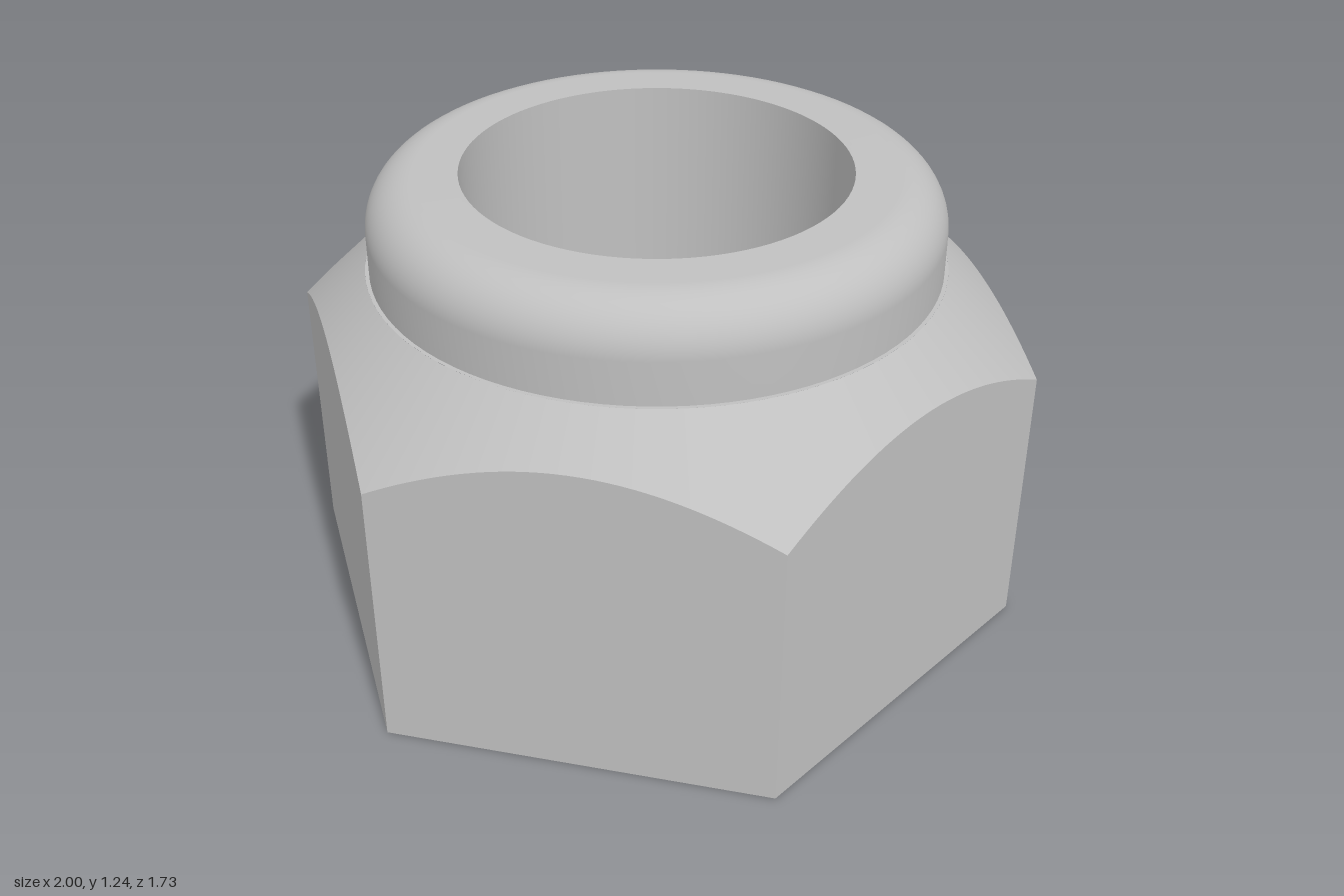
import * as THREE from 'three';
import { mergeGeometries } from 'three/addons/utils/BufferGeometryUtils.js';

const APOTHEM = Math.sqrt(3) / 2, CONE_R = 0.75, BORE_R = 0.5, COLLAR_R = 0.74, TOP = 1.24, FILLET = 0.13;
const coneY = (r) => 0.745 + 1 - r; // 45 degree chamfer cone

// One patch of the hexagon, moved by a rule, then repeated on all six sides
function sixSides(place) {
  const patch = new THREE.PlaneGeometry(1, 1, 32, 1);
  const pos = patch.attributes.position, nor = patch.attributes.normal;
  for (let i = 0; i < pos.count; i++) {
    const { p, n } = place(pos.getX(i), pos.getY(i) > 0);
    pos.setXYZ(i, ...p);
    nor.setXYZ(i, ...n);
  }
  return mergeGeometries(Array.from({ length: 6 }, (_, k) => patch.clone().rotateY(k * Math.PI / 3)));
}

const lathe = (points) => new THREE.LatheGeometry(points.map(([r, y]) => new THREE.Vector2(r, y)), 96);

export function createModel() {
  const group = new THREE.Group();
  const steel = new THREE.MeshStandardMaterial({ color: 0xc0c0c0 });
  steel.name = 'steelGrey';
  const add = (name, geometry) => {
    const mesh = new THREE.Mesh(geometry, steel);
    mesh.name = name;
    group.add(mesh);
  };

  // Flat sides, each with an arched top edge where the cone cuts it
  add('hexSides', sixSides((x, top) => ({
    p: [x, top ? coneY(Math.hypot(x, APOTHEM)) : 0, APOTHEM],
    n: [0, 0, 1],
  })));

  // Conical chamfer from the arched edges up to the collar
  add('chamfer', sixSides((x, top) => {
    const a = Math.atan2(x, APOTHEM);
    const r = top ? CONE_R : Math.hypot(x, APOTHEM);
    return {
      p: [r * Math.sin(a), coneY(r), r * Math.cos(a)],
      n: [Math.sin(a) * Math.SQRT1_2, Math.SQRT1_2, Math.cos(a) * Math.SQRT1_2],
    };
  }));

  // Narrow step between chamfer and collar
  add('collarStep', lathe([[CONE_R, coneY(CONE_R)], [COLLAR_R, coneY(CONE_R)]]));

  // Rounded collar
  const profile = [[COLLAR_R, coneY(CONE_R)]];
  for (let i = 0; i <= 12; i++) {
    const a = i / 12 * Math.PI / 2;
    profile.push([COLLAR_R - FILLET + FILLET * Math.cos(a), TOP - FILLET + FILLET * Math.sin(a)]);
  }
  profile.push([BORE_R, TOP]);
  add('collar', lathe(profile));

  // Through hole
  add('bore', lathe([[BORE_R, TOP], [BORE_R, 0]]));

  // Hexagonal underside with the hole
  const hex = new THREE.Shape(Array.from({ length: 6 }, (_, k) =>
    new THREE.Vector2(Math.cos(k * Math.PI / 3), Math.sin(k * Math.PI / 3))));
  hex.holes.push(new THREE.Path().absarc(0, 0, BORE_R, 0, Math.PI * 2, true));
  add('underside', new THREE.ShapeGeometry(hex, 96).rotateX(Math.PI / 2));

  return group;
}
